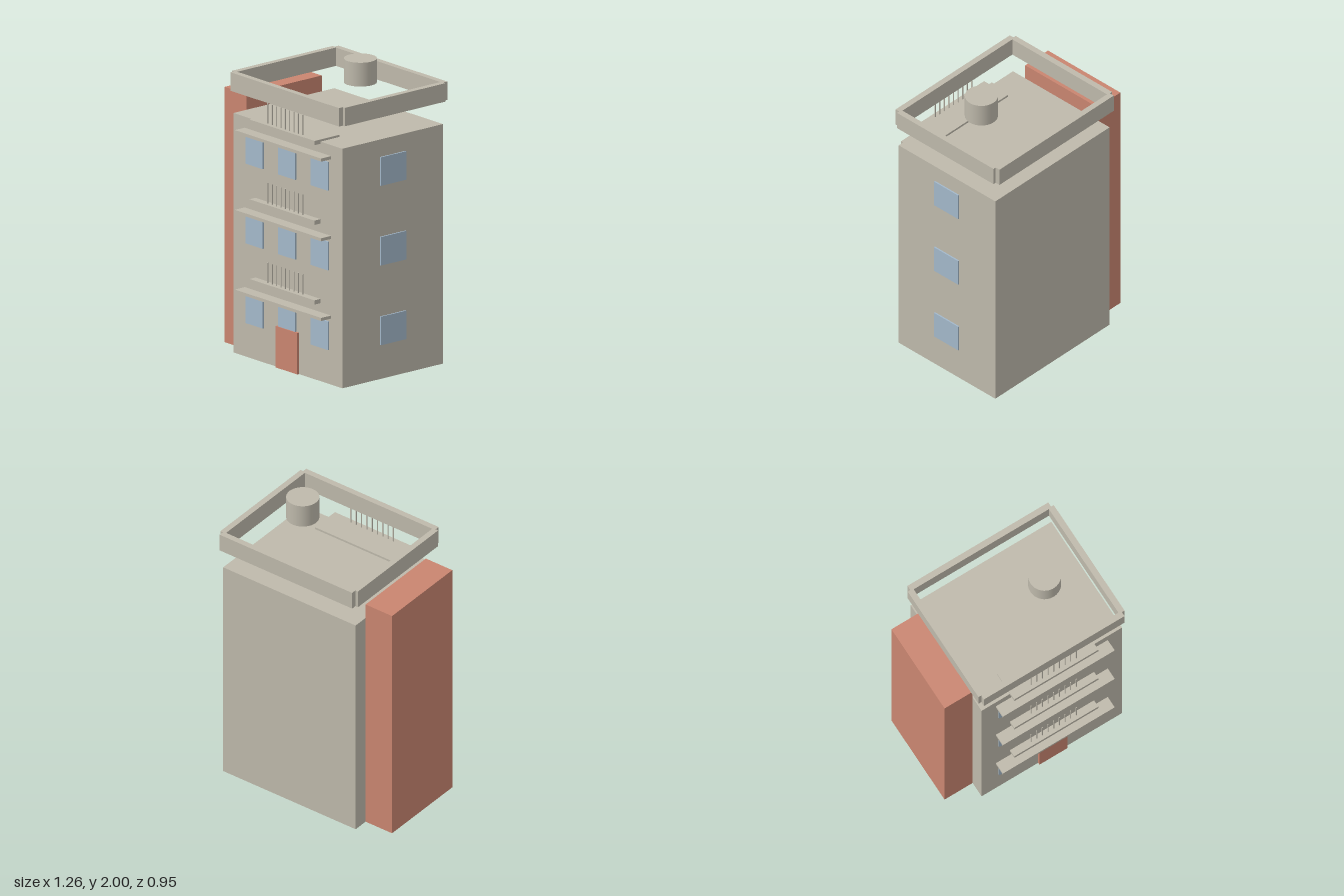
import * as THREE from 'three';

export function createModel() {
  const model = new THREE.Group();
  model.name = 'apartmentBlock';

  const material = (name, color) => {
    const m = new THREE.MeshStandardMaterial({ color });
    m.name = name;
    return m;
  };
  const stone = material('warm grey stone', 0xbeb9ab);
  const brick = material('terracotta', 0xc98570);
  const glass = material('pale blue glass', 0xa3b8ca);

  // Box given by its extents along each axis
  function box(name, mat, [x0, x1], [y0, y1], [z0, z1], parent = model) {
    const mesh = new THREE.Mesh(new THREE.BoxGeometry(x1 - x0, y1 - y0, z1 - z0), mat);
    mesh.position.set((x0 + x1) / 2, (y0 + y1) / 2, (z0 + z1) / 2);
    mesh.name = name;
    parent.add(mesh);
    return mesh;
  }

  const left = -0.428, right = 0.61, back = -0.44, front = 0.39;

  // Main block, stair tower and entrance
  box('mainBlock', stone, [left, right], [0, 1.56], [back, front]);
  box('stairTower', brick, [-0.635, left], [0, 1.663], [-0.337, 0.285]);
  box('entranceDoor', brick, [-0.01, 0.197], [0, 0.27], [front, 0.405]);

  // Repeating storeys
  for (let i = 0; i < 3; i++) {
    const storey = new THREE.Group();
    storey.name = `storey${i + 1}`;
    storey.position.y = i * 0.519;
    model.add(storey);

    for (const x of [-0.222, 0.089, 0.401]) {
      box('frontWindow', glass, [x - 0.082, x + 0.082], [0.222, 0.408], [front, front + 0.0099], storey);
    }
    box('sideWindow', glass, [right, right + 0.0099], [0.222, 0.408], [-0.13, 0.078], storey);

    // Sun shade above the windows, balcony slab above that
    box('sunShade', stone, [-0.322, 0.503], [0.43, 0.45], [front - 0.01, 0.472], storey);
    box('balconySlab', stone, [-0.218, 0.402], [0.508, 0.536], [0.235, 0.44], storey);

    // Balcony railing bars
    for (let b = 0; b < 9; b++) {
      const x = -0.077 + b * 0.0417;
      box('railingBar', stone, [x - 0.003, x + 0.003], [0.536, 0.668], [0.409, 0.415], storey);
    }
  }

  // Parapet ring of four bars raised above the roof
  const parapetY = [1.71, 1.83];
  for (const z of [back, front]) {
    const c = z === back ? -0.456 : 0.397;
    box('parapetLong', stone, [left, right], parapetY, [c - 0.02, c + 0.02]);
  }
  for (const x of [left, right]) {
    box('parapetShort', stone, [x - 0.02, x + 0.02], parapetY, [-0.443, 0.386]);
  }

  // Water tank
  const tank = new THREE.Mesh(new THREE.CylinderGeometry(0.104, 0.104, 0.155, 32), stone);
  tank.position.set(0.3, 1.9225, -0.027);
  tank.name = 'waterTank';
  model.add(tank);

  return model;
}
